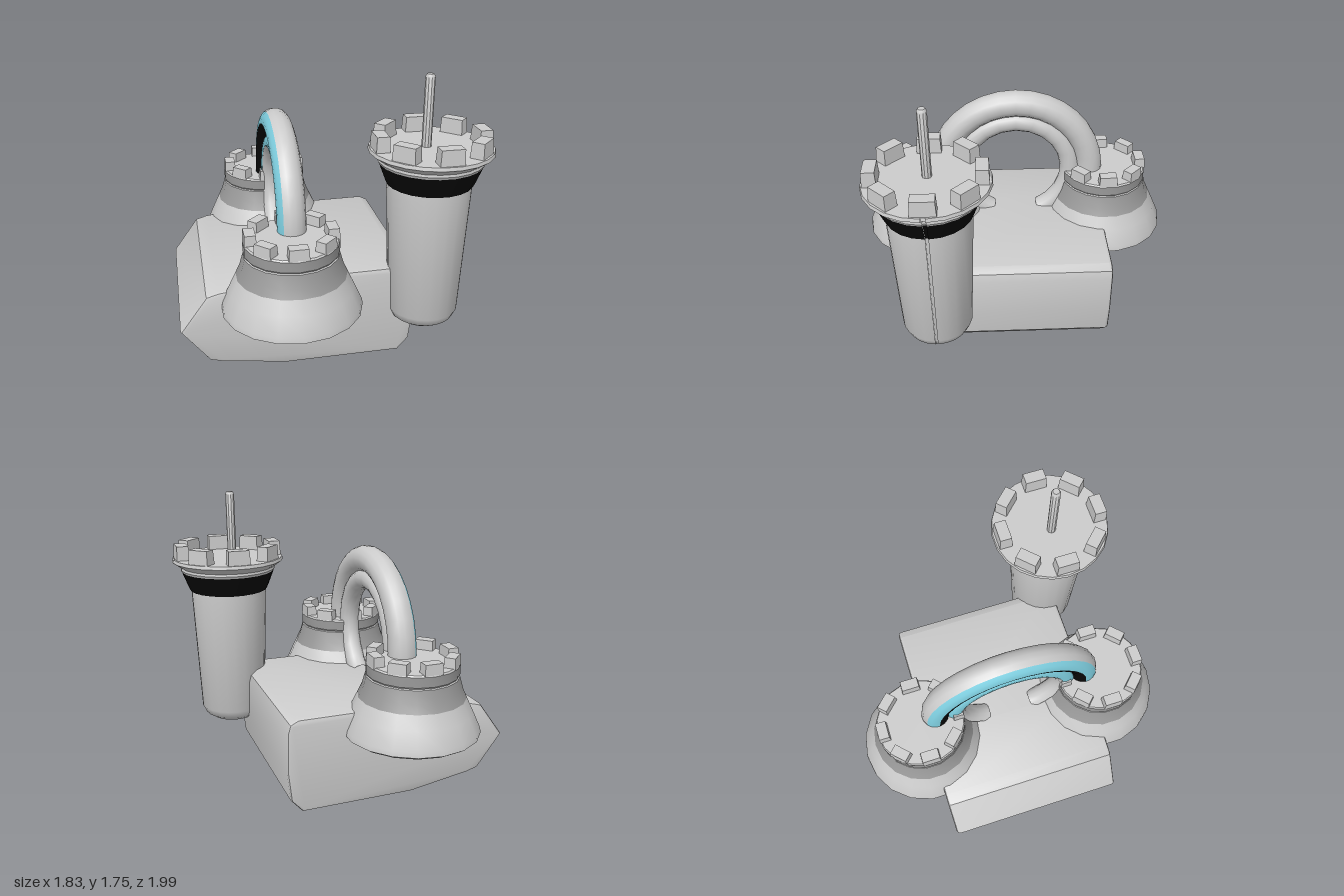
import * as THREE from 'three';
import { toCreasedNormals } from 'three/addons/utils/BufferGeometryUtils.js';

const material = (color) => new THREE.MeshStandardMaterial({ color, side: THREE.DoubleSide });
const grey = material(0xcccccc);
const darkGrey = material(0x999999);
const black = material(0x080808);
const blue = material(0x7fcfe0);

function add(parent, name, geometry, mat, x = 0, y = 0, z = 0) {
  const mesh = new THREE.Mesh(geometry, mat);
  mesh.name = name;
  mesh.position.set(x, y, z);
  parent.add(mesh);
  return mesh;
}

const points = (list) => list.map(([r, y]) => new THREE.Vector2(r, y));

// Turned part with crisp edges where the profile bends sharply
function turned(list, segments, start = 0, length = Math.PI * 2) {
  return toCreasedNormals(new THREE.LatheGeometry(points(list), segments, start, length), 0.6);
}

// Slightly tapered block standing on y = 0
function blockGeometry(w, h, d) {
  const g = new THREE.BoxGeometry(w, h, d).translate(0, h / 2, 0);
  const p = g.attributes.position;
  for (let i = 0; i < p.count; i++) {
    if (p.getY(i) > h / 2) p.setXYZ(i, p.getX(i) * 0.93, p.getY(i), p.getZ(i) * 0.9);
  }
  g.computeVertexNormals();
  return g;
}

// Eight blocks around a rim, long side along the tangent
function addBlocks(parent, name, radius, y, w, h, d) {
  const g = blockGeometry(w, h, d);
  for (let i = 0; i < 8; i++) {
    const a = (i * Math.PI) / 4;
    add(parent, name, g, grey, Math.sin(a) * radius, y, Math.cos(a) * radius).rotation.y = a;
  }
}

// Main body: faceted profile drawn in x/y and extruded along z
function createBody() {
  const profile = points([
    [-0.92, 0.29], [-0.76, 0.08], [-0.69, 0.06], [-0.3, 0], [0.4, 0], [0.47, 0.08],
    [0.49, 0.26], [0.485, 0.51], [0.47, 0.56], [0.42, 0.585], [-0.3, 0.58], [-0.69, 0.53], [-0.76, 0.51],
  ]);
  const bevel = 0.02;
  const g = new THREE.ExtrudeGeometry(new THREE.Shape(profile), {
    depth: 1.11 - bevel * 2, steps: 1, bevelEnabled: true, bevelSegments: 2,
    bevelSize: bevel, bevelOffset: -bevel, bevelThickness: bevel,
  });
  g.translate(0, 0, -0.57 + bevel);
  const body = new THREE.Mesh(toCreasedNormals(g, 0.6), grey);
  body.name = 'body';
  return body;
}

// Bell-shaped housing with a ring of blocks on its lid
function createBell(z) {
  const bell = new THREE.Group();
  bell.name = z > 0 ? 'frontBell' : 'backBell';
  bell.position.set(-0.27, 0, z);
  add(bell, 'bellSkirt', turned([
    [0, 0.41], [0.3, 0.41], [0.38, 0.42], [0.41, 0.44], [0.405, 0.47], [0.36, 0.57], [0.32, 0.655],
  ], 18), grey);
  add(bell, 'bellBand', turned([[0.32, 0.655], [0.295, 0.71], [0.275, 0.78]], 18), darkGrey);
  add(bell, 'bellGroove', turned([[0.275, 0.78], [0.268, 0.785], [0.275, 0.795]], 18), grey);
  add(bell, 'bellCollar', turned([[0.275, 0.795], [0.275, 0.855]], 18), darkGrey);
  add(bell, 'bellLid', turned([[0.275, 0.855], [0.268, 0.865], [0, 0.865]], 18), grey);
  addBlocks(bell, 'bellBlock', 0.235, 0.86, 0.115, 0.065, 0.07);
  return bell;
}

// Arched pipe: each strip of its cross-section is swept round the x axis
function createArch() {
  const arch = new THREE.Group();
  arch.name = 'arch';
  arch.position.set(-0.25, 0.86, 0);
  const strip = (name, mat, ring, tube, from, to, overrun) => {
    const section = [];
    const n = Math.max(2, Math.ceil((to - from) / 25));
    for (let i = 0; i <= n; i++) {
      const t = THREE.MathUtils.degToRad(from + ((to - from) * i) / n);
      section.push(new THREE.Vector2(ring + tube * Math.cos(t), tube * Math.sin(t)));
    }
    const g = new THREE.LatheGeometry(section, 18, -overrun, Math.PI + overrun * 2);
    add(arch, name, g.rotateZ(Math.PI / 2), mat);
  };
  strip('outerPipe', grey, 0.485, 0.085, -180, 40, 0.15);
  strip('outerStripe', blue, 0.485, 0.085, 40, 95, 0.15);
  strip('pipeGap', black, 0.485, 0.085, 95, 180, 0.15);
  strip('innerPipe', grey, 0.36, 0.065, 110, 400, 1.1);
  strip('innerStripe', blue, 0.36, 0.065, 40, 110, 0.15);
  return arch;
}

// Upright canister with a narrow groove down its left side
function createCanister() {
  const canister = new THREE.Group();
  canister.name = 'canister';
  canister.position.set(0.55, 0, 0.51);
  const sections = [
    ['canisterBody', grey, [[0, 0.23], [0.15, 0.232], [0.19, 0.26], [0.213, 0.31], [0.245, 1.08], [0.245, 1.115]]],
    ['canisterBand', black, [[0.25, 1.115], [0.262, 1.14], [0.3, 1.24]]],
    ['canisterNeck', grey, [[0.3, 1.24], [0.308, 1.255], [0.305, 1.27]]],
    ['canisterFlange', grey, [[0.305, 1.27], [0.36, 1.31], [0.355, 1.33], [0, 1.33]]],
  ];
  const half = 0.035;
  for (const [name, mat, list] of sections) {
    add(canister, name, turned(list, 22, Math.PI / 2 + half, Math.PI * 2 - half * 2), mat);
    const inset = list.map(([r, y]) => [r * 0.97, y]);
    add(canister, name + 'Groove', turned(inset, 1, Math.PI / 2 - half, half * 2), mat);
  }
  addBlocks(canister, 'canisterBlock', 0.3, 1.33, 0.14, 0.09, 0.08);
  // Thin rod standing on the lid
  add(canister, 'rod', turned([[0.028, 1.32], [0.028, 1.73], [0.02, 1.745], [0, 1.745]], 10), grey, -0.03);
  return canister;
}

export function createModel() {
  const model = new THREE.Group();
  model.name = 'machine';
  model.add(createBody(), createBell(0.585), createBell(-0.585), createArch(), createCanister());
  return model;
}
